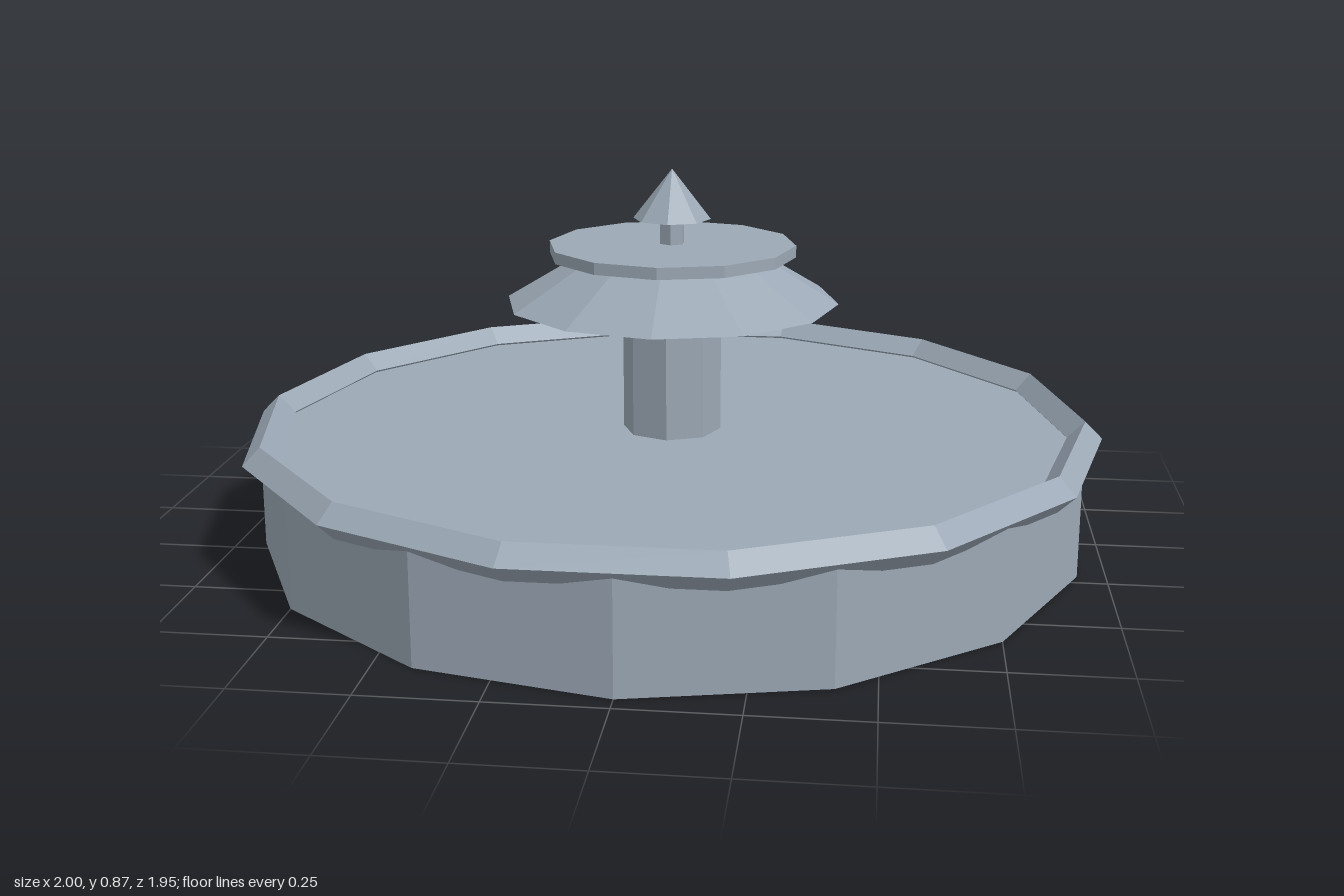
import * as THREE from 'three';

export function createModel() {
  const model = new THREE.Group();
  model.name = 'fountain';

  const stone = new THREE.MeshStandardMaterial({ color: 0x9ca9b6 });
  stone.name = 'blue grey stone';
  stone.flatShading = true;

  const add = (name, geometry, y) => {
    const mesh = new THREE.Mesh(geometry, stone);
    mesh.name = name;
    mesh.position.y = y;
    model.add(mesh);
  };

  // Faceted drum standing between two heights
  const drum = (name, rTop, rBottom, y0, y1, sides) =>
    add(name, new THREE.CylinderGeometry(rTop, rBottom, y1 - y0, sides), (y0 + y1) / 2);

  // Basin with a diamond-section rim around its edge
  drum('basin', 0.96, 0.96, 0, 0.255, 14);
  add('basinRim', new THREE.TorusGeometry(0.96, 0.04, 4, 14).rotateX(Math.PI / 2), 0.26);

  // Column and upper tier
  drum('column', 0.115, 0.115, 0.25, 0.565, 8);
  drum('upperTier', 0.204, 0.387, 0.562, 0.672, 12);
  drum('upperPlate', 0.287, 0.287, 0.67, 0.697, 12);

  // Finial
  drum('finialStem', 0.03, 0.03, 0.69, 0.765, 6);
  add('finialTip', new THREE.ConeGeometry(0.09, 0.115, 8), 0.8125);

  return model;
}
